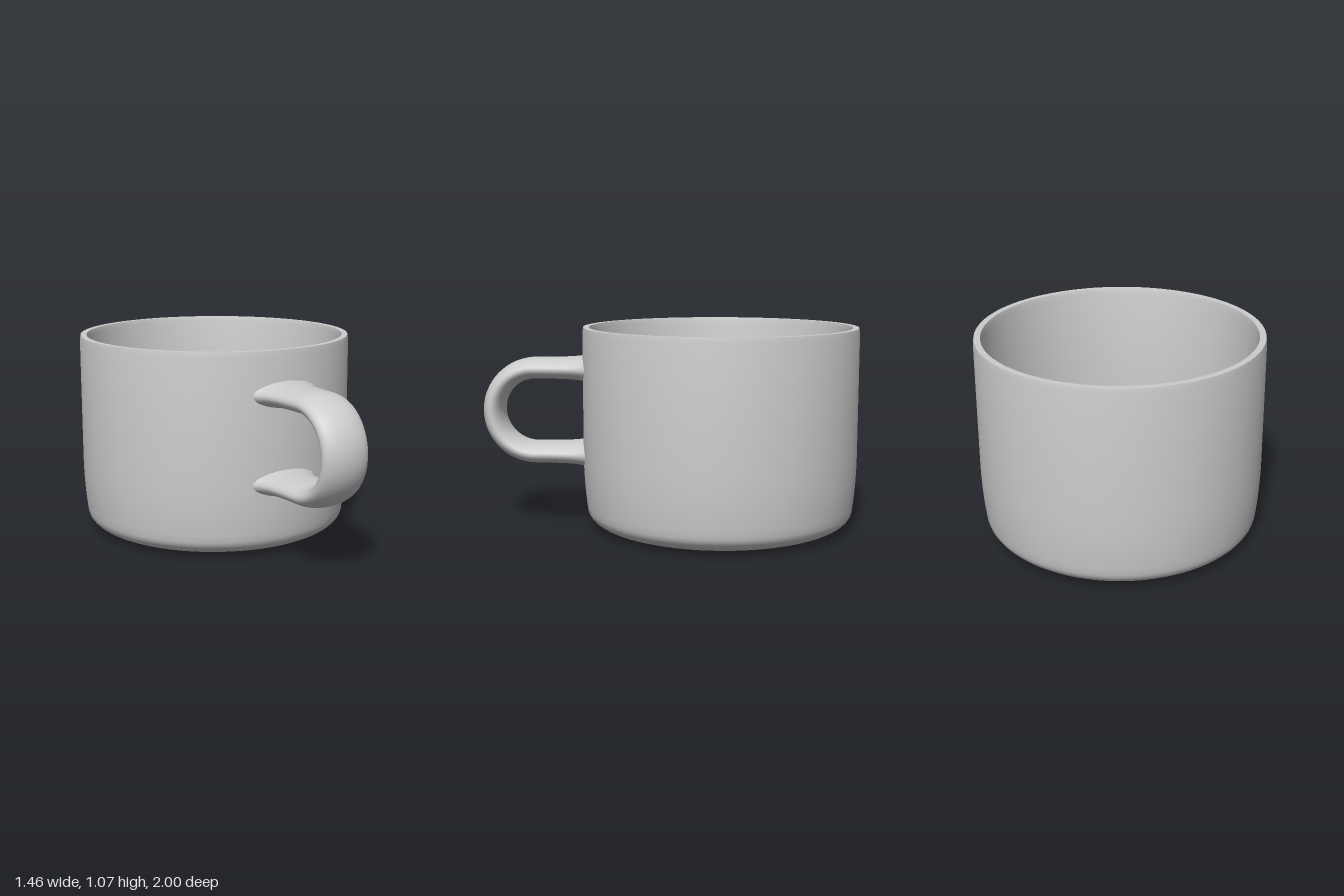
import * as THREE from 'three';
import { toCreasedNormals } from 'three/addons/utils/BufferGeometryUtils.js';

const CUP_Z = -0.27;

// Cup wall, rim and floor as one turned profile
function cupGeometry() {
  const p = new THREE.Path();
  p.moveTo(0, 0.003);
  p.lineTo(0.54, 0.006);
  p.bezierCurveTo(0.64, 0.015, 0.7, 0.05, 0.71, 0.1);
  p.bezierCurveTo(0.722, 0.19, 0.73, 0.28, 0.73, 0.42);
  p.lineTo(0.73, 1.05);
  p.lineTo(0.726, 1.075);
  p.lineTo(0.694, 1.075);
  p.lineTo(0.688, 1.05);
  p.lineTo(0.688, 0.42);
  p.bezierCurveTo(0.688, 0.28, 0.68, 0.2, 0.67, 0.13);
  p.bezierCurveTo(0.655, 0.085, 0.62, 0.06, 0.54, 0.05);
  p.lineTo(0, 0.05);
  return toCreasedNormals(new THREE.LatheGeometry(p.getPoints(8), 96), 0.6);
}

// U-shaped strap with an oval section that flares where it meets the cup
function handleGeometry() {
  const midY = 0.622, r = 0.228, zArc = 0.717, zEnd = 0.43;
  const stations = [];
  const straight = 14, bend = 32, around = 32;
  for (let i = 0; i < straight; i++) {
    const k = i / straight;
    stations.push([midY + r, zEnd + (zArc - zEnd) * k * (0.4 + 0.6 * k), 0]);
  }
  for (let i = 0; i <= bend; i++) {
    const a = Math.PI * i / bend;
    stations.push([midY + r * Math.cos(a), zArc + r * Math.sin(a), a]);
  }
  for (let i = straight - 1; i >= 0; i--) {
    stations.push([midY - r, stations[i][1], Math.PI]);
  }

  const pos = [], index = [];
  stations.forEach(([y, z, a], i) => {
    const halfWidth = 0.13 + 0.018 * Math.max(0, (0.95 - z) / 0.5) + 0.036 * Math.exp(-(z - 0.44) / 0.045);
    const halfThick = 0.057 + 0.015 * Math.exp(-(z - 0.44) / 0.06);
    for (let j = 0; j < around; j++) {
      const t = 2 * Math.PI * j / around;
      const w = halfWidth * Math.cos(t), h = halfThick * Math.sin(t);
      pos.push(w, y + h * Math.cos(a), z + h * Math.sin(a));
      if (i < stations.length - 1) {
        const n = (j + 1) % around, p = i * around, q = p + around;
        index.push(p + j, p + n, q + j, p + n, q + n, q + j);
      }
    }
  });
  const g = new THREE.BufferGeometry();
  g.setAttribute('position', new THREE.Float32BufferAttribute(pos, 3));
  g.setIndex(index);
  g.computeVertexNormals();
  return g;
}

export function createModel() {
  const ceramic = new THREE.MeshStandardMaterial({ color: 0xcccccc });
  ceramic.name = 'ceramic grey';

  const group = new THREE.Group();
  group.name = 'mug';

  const cup = new THREE.Mesh(cupGeometry(), ceramic);
  cup.name = 'cup';
  cup.position.z = CUP_Z;

  const handle = new THREE.Mesh(handleGeometry(), ceramic);
  handle.name = 'handle';

  group.add(cup, handle);
  return group;
}
